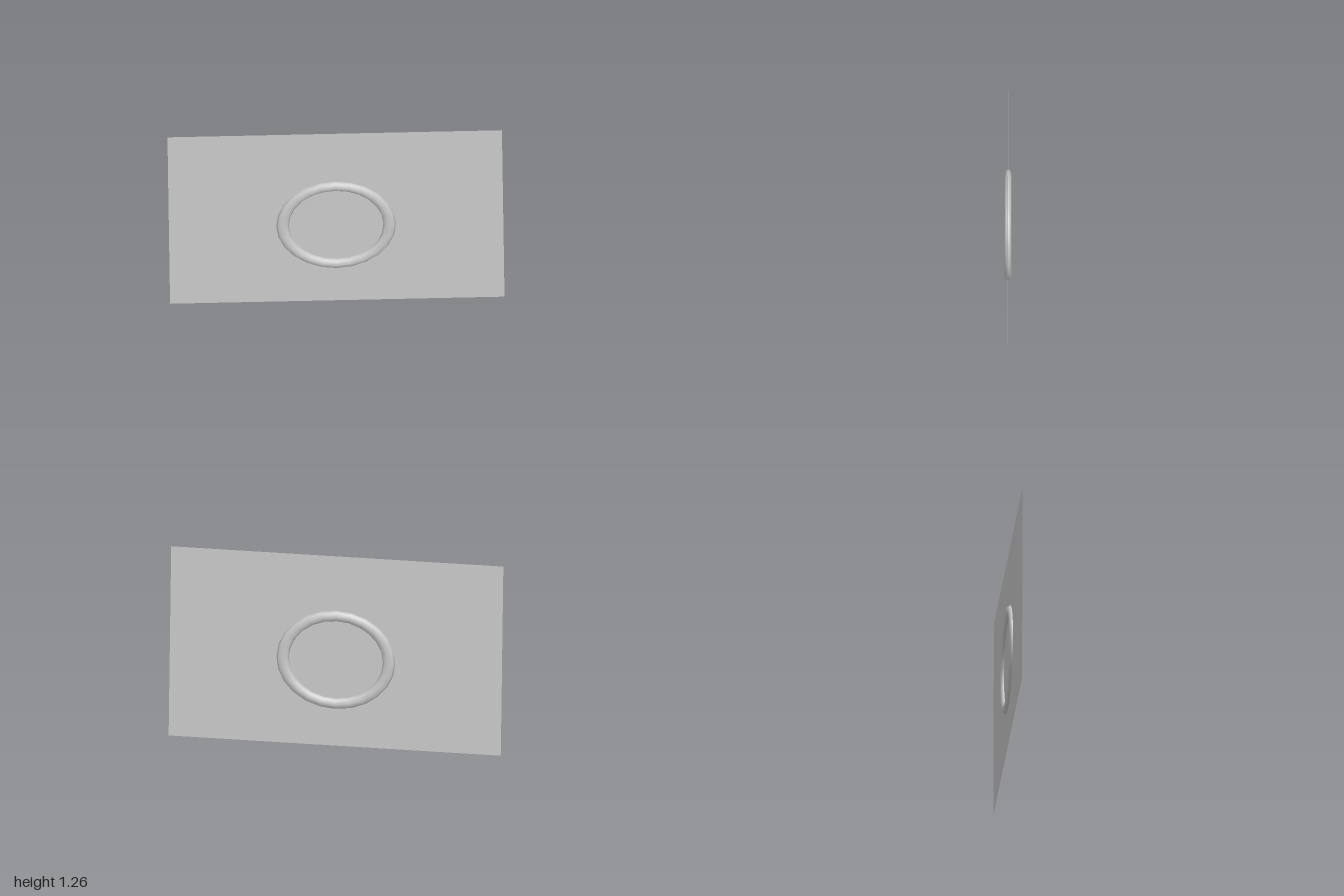
import * as THREE from 'three';

export function createModel() {
  const model = new THREE.Group();
  const material = new THREE.MeshStandardMaterial({ color: 0xcccccc, side: THREE.DoubleSide });

  // Everything shares one slight roll and yaw
  const banner = new THREE.Group();
  banner.name = 'banner';
  banner.position.y = 0.633;
  banner.rotation.set(0, 0.0115, 0.0125);
  model.add(banner);

  // Thin flat sheet
  const sheet = new THREE.Mesh(new THREE.PlaneGeometry(1.985, 1.236), material);
  sheet.name = 'sheet';
  banner.add(sheet);

  // Flattened oval ring, threaded by the sheet and a little below its centre
  const ring = new THREE.Mesh(new THREE.TorusGeometry(0.318, 0.037, 8, 24), material);
  ring.name = 'ring';
  ring.scale.set(1, 0.9, 0.56);
  ring.position.y = -0.058;
  banner.add(ring);

  return model;
}
